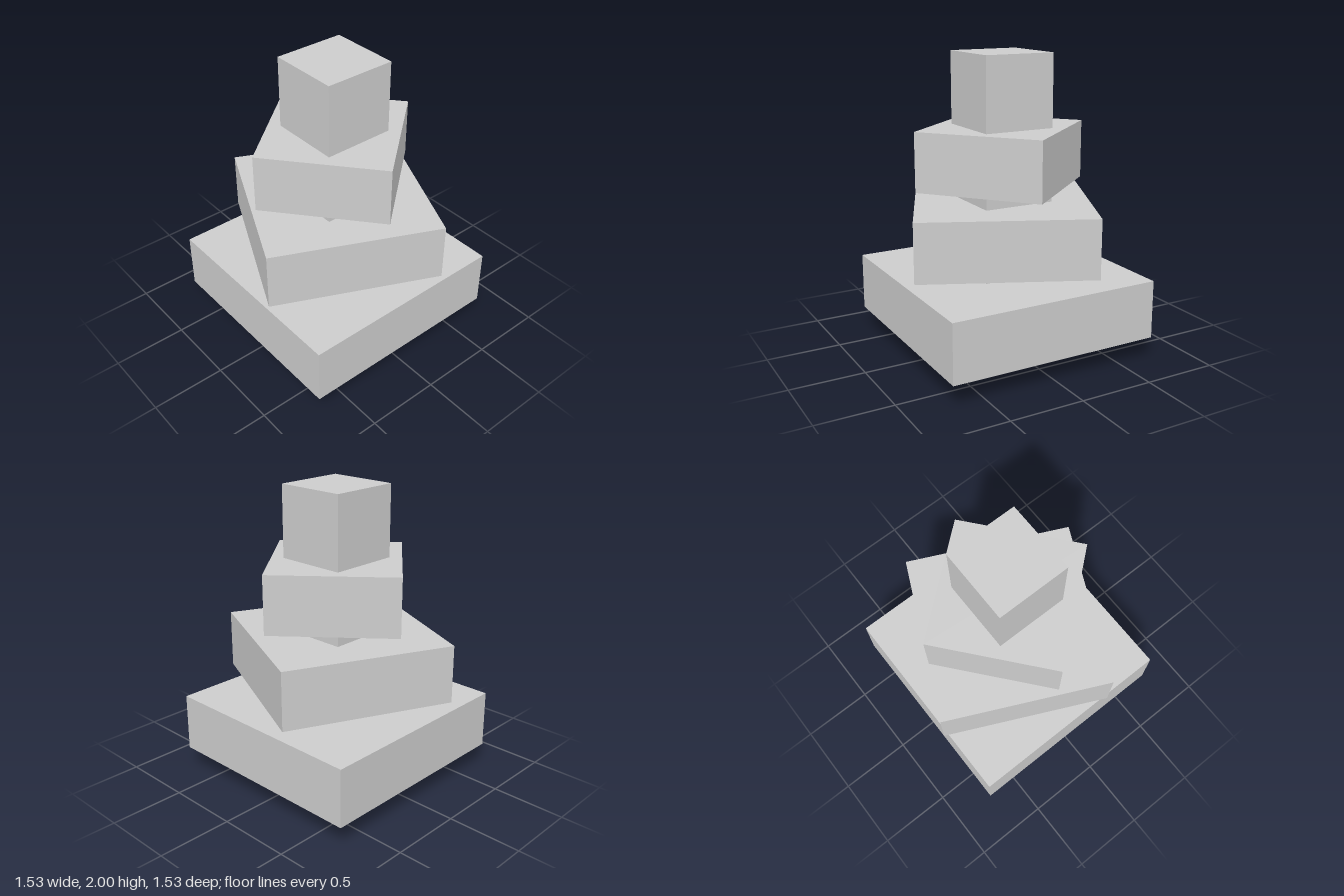
import * as THREE from 'three';

const gray = new THREE.MeshStandardMaterial({ color: 0xcccccc });
gray.name = 'light gray';

// Square block centred on the y axis, turned by a number of degrees
function block(name, width, bottom, top, degrees = 0) {
  const mesh = new THREE.Mesh(new THREE.BoxGeometry(width, top - bottom, width), gray);
  mesh.name = name;
  mesh.position.y = (bottom + top) / 2;
  mesh.rotation.y = THREE.MathUtils.degToRad(degrees);
  return mesh;
}

export function createModel() {
  const model = new THREE.Group();
  model.name = 'twistedTower';

  // Square column running through the whole stack
  model.add(block('core', 0.485, 0, 2));

  // Three shrinking slabs, each turned 25 degrees further
  const widths = [1.455, 1.148, 0.848];
  widths.forEach((width, i) => {
    const bottom = 0.153 + i * 0.487;
    model.add(block(`slab${i + 1}`, width, bottom, bottom + 0.392, -25 * i));
  });

  return model;
}
